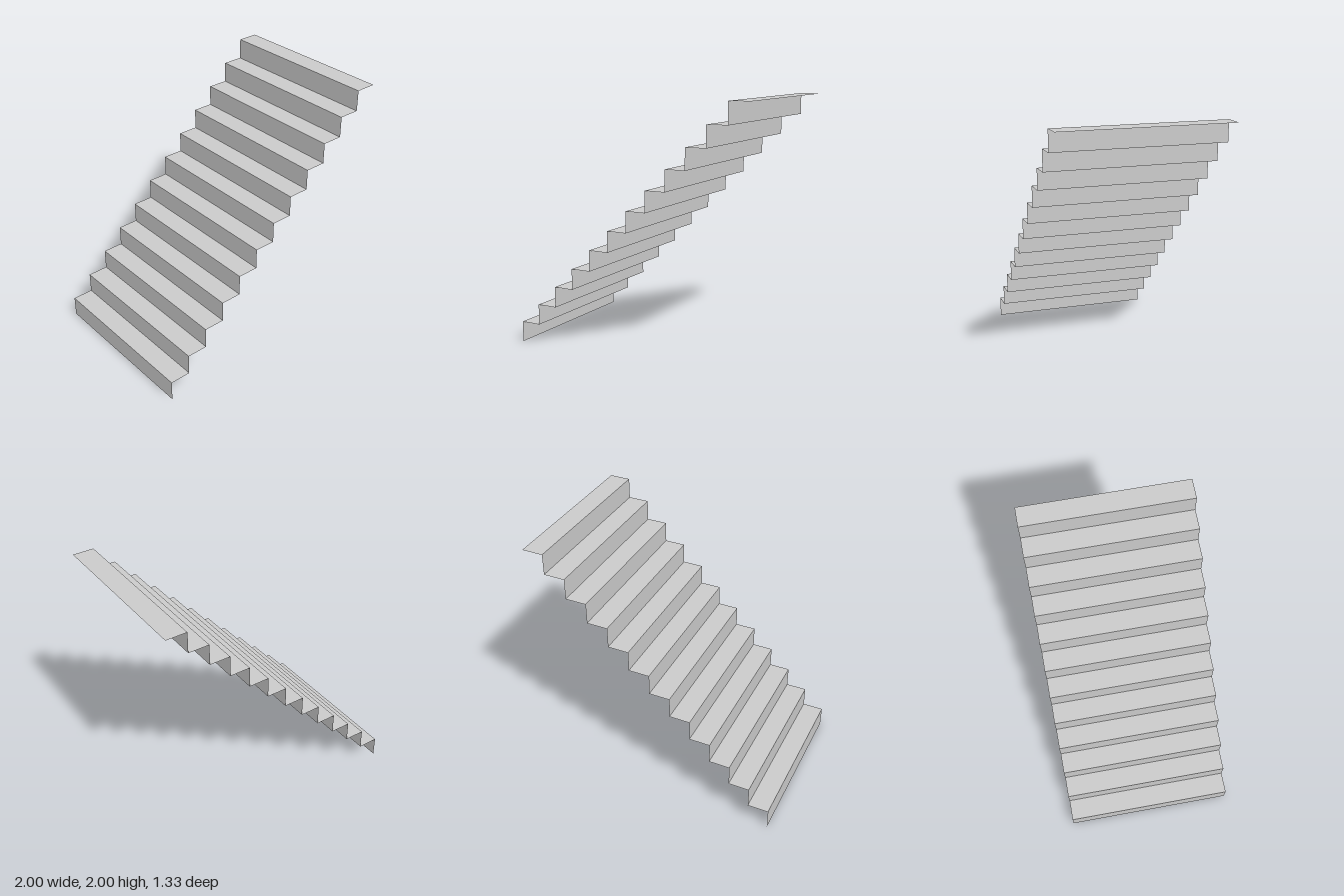
import * as THREE from 'three';

const STEPS = 12;
const SIZE = 2 / STEPS; // rise and run of one step
const WIDTH = 1.333;

export function createModel() {
  const model = new THREE.Group();
  model.name = 'staircase';
  const material = new THREE.MeshStandardMaterial({
    color: 0xcccccc, flatShading: true, side: THREE.DoubleSide,
  });

  // Paper-thin sheets: the riser faces -x, the tread faces up
  const riserGeometry = new THREE.PlaneGeometry(WIDTH, SIZE).rotateY(-Math.PI / 2);
  const treadGeometry = new THREE.PlaneGeometry(SIZE, WIDTH).rotateX(-Math.PI / 2);

  // Steps climb towards +x
  for (let i = 0; i < STEPS; i++) {
    const step = new THREE.Group();
    step.name = `step${i + 1}`;
    step.position.set(-1 + i * SIZE, i * SIZE, 0);

    const riser = new THREE.Mesh(riserGeometry, material);
    riser.name = 'riser';
    riser.position.y = SIZE / 2;

    const tread = new THREE.Mesh(treadGeometry, material);
    tread.name = 'tread';
    tread.position.set(SIZE / 2, SIZE, 0);

    step.add(riser, tread);
    model.add(step);
  }
  return model;
}
